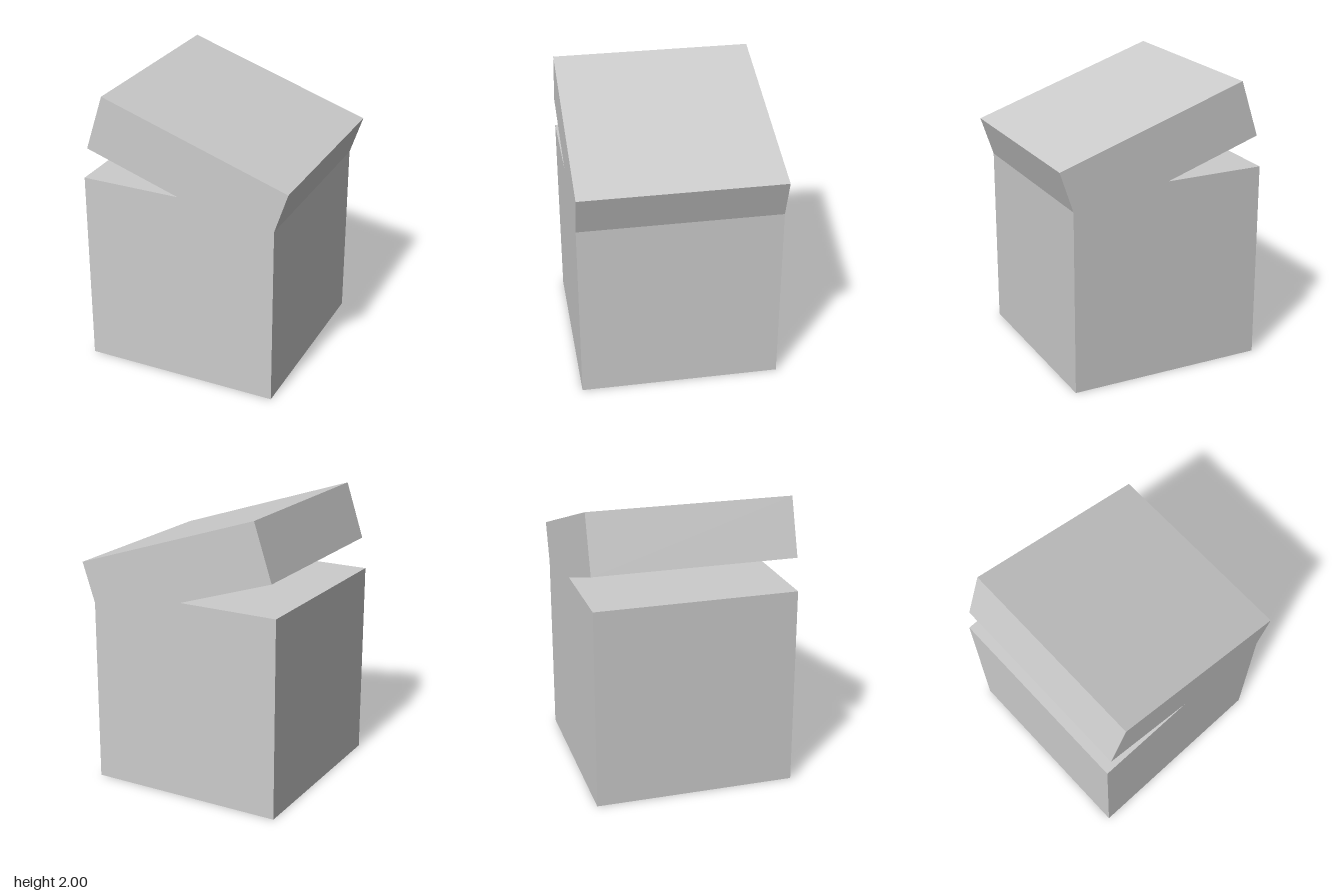
import * as THREE from 'three';

export function createModel() {
  const group = new THREE.Group();
  const material = new THREE.MeshStandardMaterial({ color: 0xcccccc, flatShading: true });
  const side = 1.39;

  function addBox(name, height, x, y, tilt = 0) {
    const mesh = new THREE.Mesh(new THREE.BoxGeometry(side, height, side), material);
    mesh.name = name;
    mesh.position.set(x, y, 0);
    mesh.rotation.z = tilt;
    group.add(mesh);
  }

  // Cubic body standing on the ground
  addBox('boxBody', side, -0.045, side / 2);

  // Thick lid, tipped open and sunk into the body on its left side
  addBox('tiltedLid', 0.408, 0.0175, 1.588, -Math.atan2(0.435, 1.32));

  return group;
}
